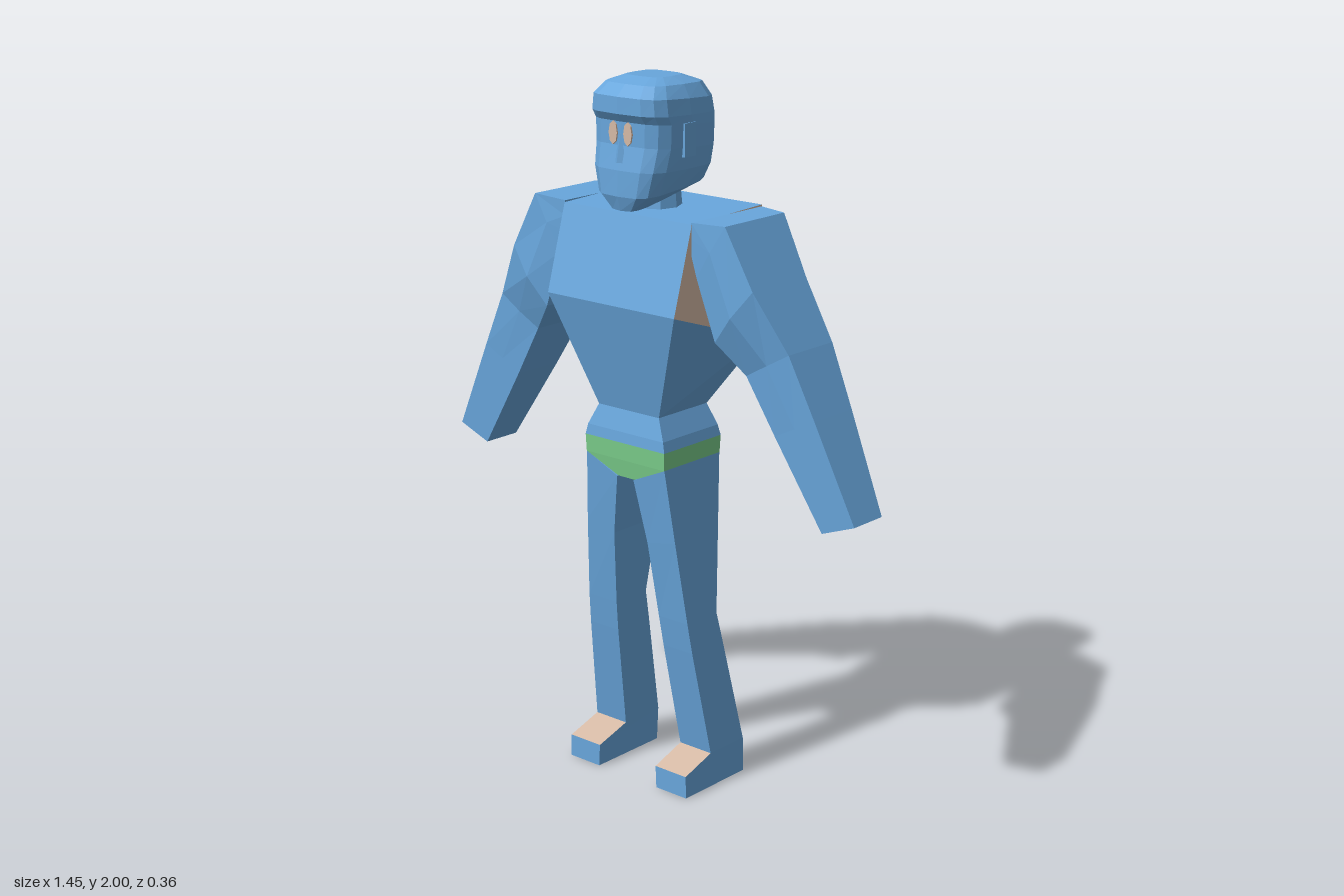
import * as THREE from 'three';

const mat = (name, color) => {
  const m = new THREE.MeshStandardMaterial({ color, flatShading: true, side: THREE.DoubleSide });
  m.name = name;
  return m;
};

// Skin a stack of rings (top to bottom, each counter-clockwise from above) and close both ends.
// pick(step, side) chooses the material of each side face; mirror = -1 flips the part in x.
function loft(name, rings, materials, pick = () => 0, mirror = 1) {
  const loops = rings.map(r => {
    const pts = r.map(([x, y, z]) => [x * mirror, y, z]);
    return mirror < 0 ? pts.reverse() : pts;
  });
  const n = loops[0].length, pos = [], geo = new THREE.BufferGeometry();
  const tri = (a, b, c) => pos.push(...a, ...b, ...c);
  for (let k = 0; k < loops.length - 1; k++) {
    for (let i = 0; i < n; i++) {
      const j = (i + 1) % n, u = loops[k], l = loops[k + 1];
      geo.addGroup(pos.length / 3, 6, pick(k, i));
      tri(l[i], l[j], u[j]);
      tri(l[i], u[j], u[i]);
    }
  }
  geo.addGroup(pos.length / 3, (n - 2) * 6, 0);
  const top = loops[0], end = loops[loops.length - 1];
  for (let i = 1; i < n - 1; i++) {
    tri(top[0], top[i], top[i + 1]);
    tri(end[0], end[i + 1], end[i]);
  }
  geo.setAttribute('position', new THREE.Float32BufferAttribute(pos, 3));
  geo.computeVertexNormals();
  const mesh = new THREE.Mesh(geo, materials);
  mesh.name = name;
  return mesh;
}

// Four-cornered ring symmetric in x, with separate front and back heights
const slab = (w, yf, zf, yb, zb) => [[-w, yf, zf], [w, yf, zf], [w, yb, zb], [-w, yb, zb]];
// Four-cornered limb ring from an inner to an outer point
const limb = (xi, yi, xo, yo, zf, zb) => [[xi, yi, zf], [xo, yo, zf], [xo, yo, zb], [xi, yi, zb]];
// Six-cornered limb ring, slightly swollen at the middle of the front and back
function arm(xi, yi, xo, yo, zf, zb, swell) {
  const xm = (xi + xo) / 2, ym = (yi + yo) / 2;
  return [[xi, yi, zf], [xm, ym, zf + swell], [xo, yo, zf],
    [xo, yo, zb], [xm, ym, zb - swell], [xi, yi, zb]];
}
// Rounded-square head ring, tilted from front to back
function headRing(yf, yb, w, zf, zb) {
  const soft = v => Math.sign(v) * Math.pow(Math.abs(v) + 1e-9, 0.55);
  return Array.from({ length: 16 }, (_, i) => {
    const a = -i * Math.PI / 8, s = -soft(Math.sin(a));
    const t = (s + 1) / 2;
    return [w * soft(Math.cos(a)), yb + (yf - yb) * t, zb + (zf - zb) * t];
  }).reverse();
}

export function createModel() {
  const blue = mat('blue', 0x68a6dc), skin = mat('skin', 0xd6baa6), green = mat('green', 0x7acc8a);
  const model = new THREE.Group();
  model.name = 'figure';
  const add = (name, geo, m, x, y, z) => {
    const mesh = new THREE.Mesh(geo, m);
    mesh.name = name;
    mesh.position.set(x, y, z);
    model.add(mesh);
    return mesh;
  };

  // Torso with bare side panels under the arms
  model.add(loft('torso', [
    slab(0.228, 1.64, 0.11, 1.65, -0.18),
    slab(0.228, 1.4, 0.18, 1.28, -0.18),
    slab(0.11, 1.09, 0.105, 1.09, -0.095)
  ], [blue, skin], (k, i) => (k === 0 && i % 2 ? 1 : 0)));

  // Hips and briefs
  model.add(loft('hips', [
    slab(0.11, 1.09, 0.105, 1.09, -0.095),
    slab(0.138, 1.03, 0.12, 1.03, -0.11),
    slab(0.145, 1.0, 0.123, 1.0, -0.115)
  ], [blue]));
  model.add(loft('briefs', [
    slab(0.145, 1.0, 0.123, 1.0, -0.115),
    slab(0.143, 0.95, 0.121, 0.95, -0.113),
    slab(0.03, 0.9, 0.115, 0.9, -0.108)
  ], [green]));

  for (const side of [1, -1]) {
    const label = side > 0 ? 'left' : 'right';
    // Arm from shoulder to blunt hand
    model.add(loft(label + 'Arm', [
      arm(0.226, 1.56, 0.226, 1.645, 0.11, -0.18, 0),
      arm(0.245, 1.5, 0.34, 1.65, 0.11, -0.135, 0.005),
      arm(0.305, 1.335, 0.43, 1.49, 0.105, -0.12, 0.015),
      arm(0.38, 1.25, 0.52, 1.33, 0.065, -0.12, 0.004),
      arm(0.47, 1.1, 0.6, 1.165, 0.055, -0.105, 0),
      arm(0.62, 0.86, 0.725, 0.9, 0.04, -0.08, 0)
    ], [blue], undefined, side));

    // Leg and foot with a bare instep
    model.add(loft(label + 'Leg', [
      limb(0.03, 0.9, 0.143, 0.95, 0.12, -0.112),
      limb(0.062, 0.72, 0.163, 0.74, 0.098, -0.085),
      limb(0.08, 0.5, 0.185, 0.5, 0.07, -0.055),
      limb(0.086, 0.41, 0.192, 0.41, 0.057, -0.075),
      limb(0.105, 0.1, 0.218, 0.1, 0.005, -0.138),
      [[0.107, 0.065, 0.115], [0.219, 0.065, 0.115], [0.218, 0.1, -0.138], [0.105, 0.1, -0.138]],
      limb(0.11, 0, 0.221, 0, 0.115, -0.138)
    ], [blue, skin], (k, i) => (k === 4 && i === (side > 0 ? 0 : 2) ? 1 : 0), side));

    // Eye plate
    const eye = add(label + 'Eye', new THREE.CylinderGeometry(0.015, 0.015, 0.005, 8), skin,
      side * 0.026, 1.857, 0.133);
    eye.rotation.x = Math.PI / 2;
    eye.scale.z = 2.1;

    // Ear
    add(label + 'Ear', new THREE.BoxGeometry(0.01, 0.09, 0.045), blue, side * 0.132, 1.84, 0.01);
  }

  // Neck
  add('neck', new THREE.CylinderGeometry(0.055, 0.065, 0.1, 8), blue, 0, 1.68, -0.02);

  // Head with brow, recessed eyes, jaw and chin
  model.add(loft('head', [
    headRing(2.0, 2.0, 0.065, 0.06, -0.06),
    headRing(1.985, 1.98, 0.105, 0.115, -0.115),
    headRing(1.955, 1.94, 0.128, 0.147, -0.138),
    headRing(1.91, 1.9, 0.134, 0.148, -0.143),
    headRing(1.888, 1.87, 0.134, 0.132, -0.143),
    headRing(1.825, 1.81, 0.132, 0.132, -0.142),
    headRing(1.76, 1.76, 0.125, 0.146, -0.138),
    headRing(1.69, 1.72, 0.105, 0.148, -0.128),
    headRing(1.65, 1.695, 0.055, 0.135, -0.1)
  ], [blue]));

  // Nose
  const nose = add('nose', new THREE.ConeGeometry(0.022, 0.08, 4), blue, 0, 1.82, 0.134);
  nose.scale.z = 0.7;

  return model;
}
